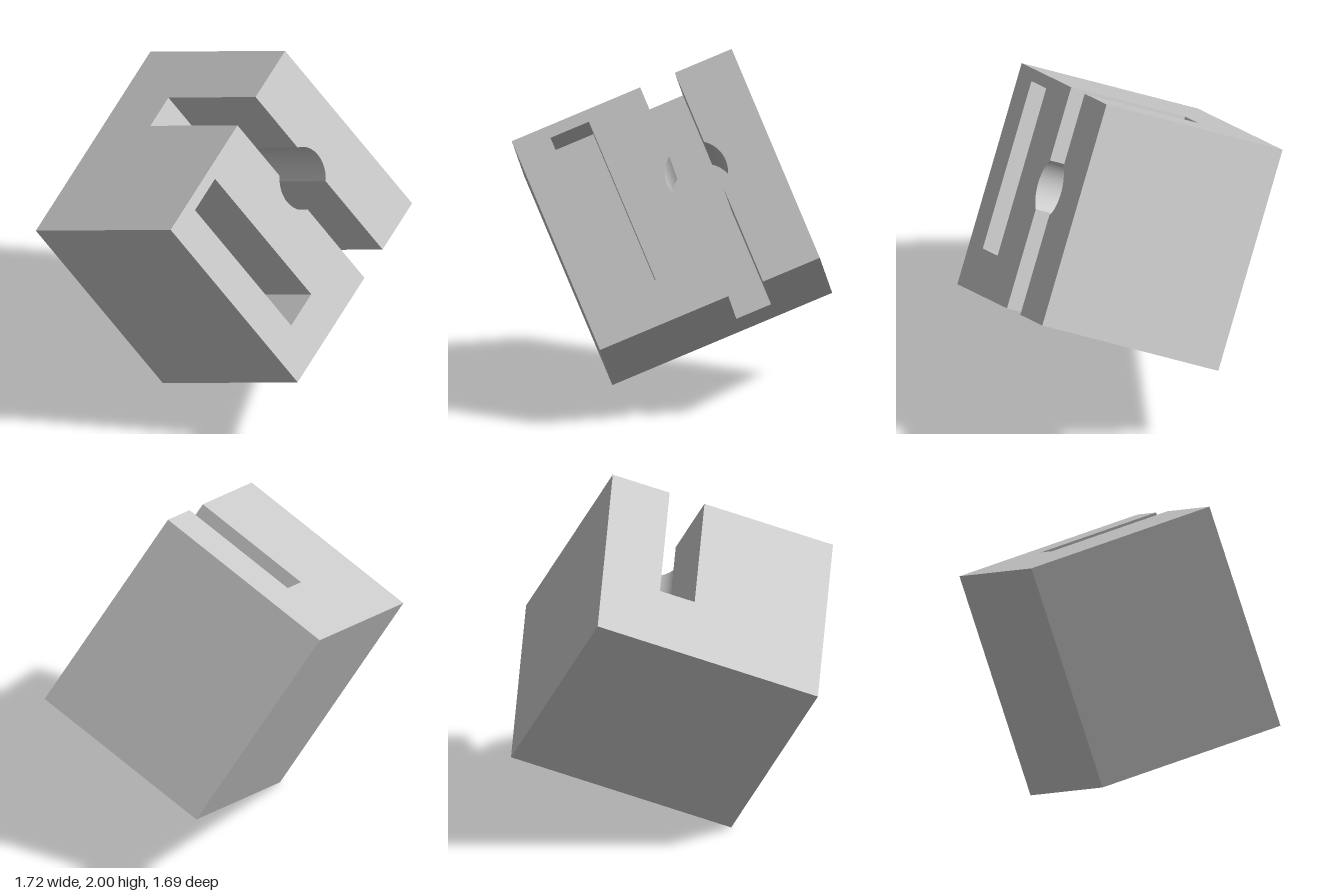
import * as THREE from 'three';

// Block size along its own axes, and the cut-outs
const W = 1.317, H = 1.275, D = 1.09;
const SLOT = { x: 0.873, half: 0.104, depth: 0.705 };
const HOLE = { y: 0.712, r: 0.175 };
const POCKET = { x0: 0.204, x1: 0.434, y0: 0.243, y1: 1.208, depth: 0.388 };

const rect = (Type, x0, y0, x1, y1) => new Type([
  new THREE.Vector2(x0, y0), new THREE.Vector2(x1, y0),
  new THREE.Vector2(x1, y1), new THREE.Vector2(x0, y1),
]);

// Half of the slotted front, with its bite of the round hole
function leftShape() {
  const t = Math.acos(SLOT.half / HOLE.r), edge = SLOT.x - SLOT.half;
  const s = new THREE.Shape();
  s.moveTo(0, 0);
  s.lineTo(edge, 0);
  s.absarc(SLOT.x, HOLE.y, HOLE.r, Math.PI + t, Math.PI - t, true);
  s.lineTo(edge, H);
  s.lineTo(0, H);
  return s;
}

function rightShape() {
  const t = Math.acos(SLOT.half / HOLE.r), edge = SLOT.x + SLOT.half;
  const s = new THREE.Shape();
  s.moveTo(W, 0);
  s.lineTo(W, H);
  s.lineTo(edge, H);
  s.absarc(SLOT.x, HOLE.y, HOLE.r, t, -t, true);
  s.lineTo(edge, 0);
  return s;
}

export function createModel() {
  const group = new THREE.Group();
  const material = new THREE.MeshStandardMaterial({ color: 0xcccccc, flatShading: true });
  const block = new THREE.Group();
  block.name = 'tiltedBlock';
  group.add(block);

  const slab = (name, shape, z0, z1) => {
    const geometry = new THREE.ExtrudeGeometry(shape, { depth: z1 - z0, bevelEnabled: false, curveSegments: 10 });
    const mesh = new THREE.Mesh(geometry, material);
    mesh.name = name;
    mesh.position.z = z0;
    block.add(mesh);
  };

  const slotFloor = D - SLOT.depth, pocketFloor = D - POCKET.depth;
  // Solid back, whose face is the floor of the slot and hole
  slab('backBlock', rect(THREE.Shape, 0, 0, W, H), 0, slotFloor);
  // Wide side of the slot: solid below, pocketed in front
  slab('pocketBase', leftShape(), slotFloor, pocketFloor);
  const pocketed = leftShape();
  pocketed.holes.push(rect(THREE.Path, POCKET.x0, POCKET.y0, POCKET.x1, POCKET.y1));
  slab('pocketFrame', pocketed, pocketFloor, D);
  // Narrow side of the slot
  slab('narrowJaw', rightShape(), slotFloor, D);

  // Tip the block so that it stands on one corner
  const u = new THREE.Vector3(0.9125, 0.3726, -0.167).normalize();
  const d = new THREE.Vector3(0, 0.167, 0.3726).normalize();
  const v = new THREE.Vector3().crossVectors(d, u);
  block.quaternion.setFromRotationMatrix(new THREE.Matrix4().makeBasis(u, v, d));
  block.position.set(-0.34, 0, -0.15);
  return group;
}
